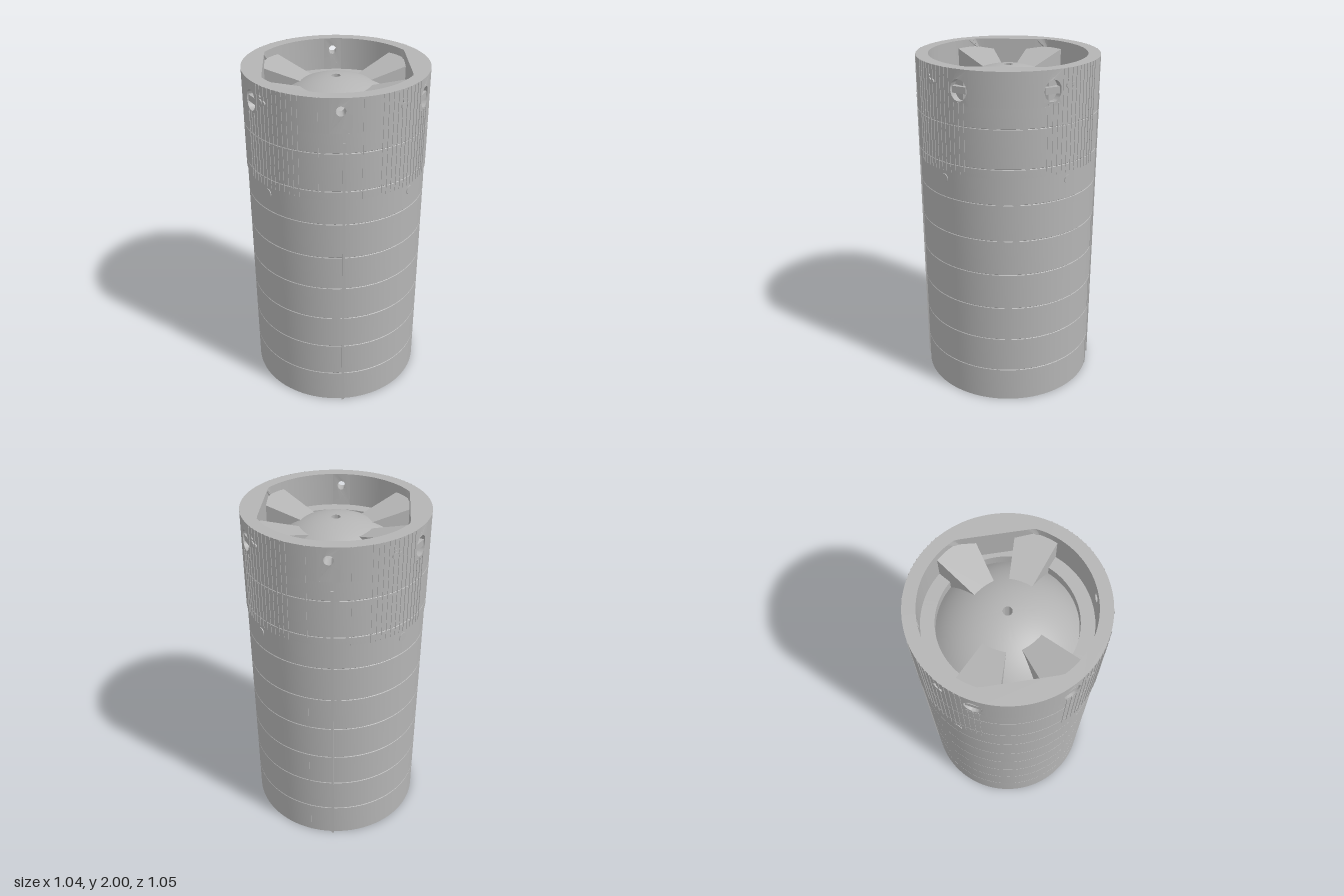
import * as THREE from 'three';
import { toCreasedNormals } from 'three/addons/utils/BufferGeometryUtils.js';

const RAD = Math.PI / 180;
const R = 0.52;        // upper skin radius
const LOW = 0.515;     // lower skin radius
const LEDGE = 1.81;    // floor of the open top
const HALF = 6.5;      // half angle of a pierced wall panel, degrees

// Inner wall radius at an angle from +z: round, with flats at x = +-0.4
const innerRadius = (a) => Math.min(0.45, 0.4 / Math.max(0.001, Math.abs(Math.sin(a))));

export function createModel() {
  const model = new THREE.Group();
  const grey = new THREE.MeshStandardMaterial({ color: 0xb4b4b4 });
  grey.name = 'grey metal';

  const add = (geometry, name, parent = model, crease = 0.5) => {
    const mesh = new THREE.Mesh(crease ? toCreasedNormals(geometry, crease) : geometry, grey);
    mesh.name = name;
    parent.add(mesh);
    return mesh;
  };
  // Group whose local +z points outward at the given angle
  const spoke = (degrees, name) => {
    const g = new THREE.Group();
    g.rotation.y = degrees * RAD;
    g.name = name;
    model.add(g);
    return g;
  };
  // Extrude a plan outline given as [x, z] points, upward from y
  const plan = (points, y, height, hole) => {
    const shape = new THREE.Shape(points.map(([x, z]) => new THREE.Vector2(x, -z)));
    if (hole) shape.holes.push(new THREE.Path(hole.map(([x, z]) => new THREE.Vector2(x, -z))));
    return new THREE.ExtrudeGeometry(shape, { depth: height, bevelEnabled: false })
      .rotateX(-Math.PI / 2).translate(0, y, 0);
  };
  const circle = (r, n) => Array.from({ length: n }, (_, i) =>
    [r * Math.sin(2 * Math.PI * i / n), r * Math.cos(2 * Math.PI * i / n)]);

  // Body skin with fine ring grooves, ledge, dome and centre bore
  const profile = [[0.5, 0], [LOW, 0]];
  const groove = (r, y) => profile.push([r, y - 0.003], [r - 0.003, y], [r, y + 0.003]);
  [0.21, 0.425, 0.635, 0.85, 1.06, 1.275].forEach((y) => groove(LOW, y));
  profile.push([LOW, 1.43], [R, 1.43]);
  [1.48, 1.7].forEach((y) => groove(R, y));
  profile.push([R, LEDGE], [0.375, LEDGE], [0.375, 1.75]);
  for (let i = 1; i <= 16; i++) {
    const r = 0.375 + (0.025 - 0.375) * i / 16;
    profile.push([r, 1.45 + Math.sqrt(0.48 ** 2 - r * r)]);
  }
  profile.push([0.025, 1.55]);
  add(new THREE.LatheGeometry(profile.map(([x, y]) => new THREE.Vector2(x, y)), 96), 'bodyAndDome');

  // Base block with a pointed square shaft, closed by a bored plate
  const shaft = [[0.12, 0.12], [0.12, -0.12], [-0.12, -0.12], [-0.12, 0.12], [0, 0.2]];
  add(plan(circle(0.511, 96), 0, 1.5, shaft), 'baseWithShaft');
  add(plan(circle(0.25, 32), 1.5, 0.1, circle(0.025, 24)), 'shaftCap');

  // Pierced wall panels: a flat plate with a hole, bent to the wall
  const panels = [0, 62, 118, 180, 242, 298];
  panels.forEach((deg) => {
    const port = deg % 180 !== 0;
    const w = R * Math.sin(HALF * RAD);
    const shape = new THREE.Shape();
    shape.moveTo(-w, LEDGE);
    [[0, LEDGE], [w, LEDGE], [w, 2], [w / 2, 2], [0, 2], [-w / 2, 2], [-w, 2]]
      .forEach(([x, y]) => shape.lineTo(x, y));
    const hole = new THREE.Path();
    if (port) hole.absellipse(0, 1.89, 0.05, 0.058, 0, Math.PI * 2, true);
    else hole.absarc(0, 1.93, 0.026, 0, Math.PI * 2, true);
    shape.holes.push(hole);
    const g = new THREE.ExtrudeGeometry(shape, { depth: 1, bevelEnabled: false, curveSegments: 24 });
    const p = g.attributes.position;
    for (let i = 0; i < p.count; i++) {
      const a = Math.asin(p.getX(i) / R);
      const r = p.getZ(i) > 0.5 ? R : innerRadius(deg * RAD + a);
      p.setX(i, r * Math.sin(a));
      p.setZ(i, r * Math.cos(a));
    }
    const s = spoke(deg, port ? 'portPanel' : 'ventPanel');
    add(g, 'piercedWall', s);
    if (port) {
      // Recess floor and crossbar
      add(new THREE.BoxGeometry(0.11, 0.13, 0.02).translate(0, 1.89, 0.47), 'portFloor', s);
      add(new THREE.BoxGeometry(0.084, 0.036, 0.035).translate(0, 1.89, 0.495), 'portBar', s);
    }
  });

  // Solid wall sectors between the panels
  panels.forEach((deg, i) => {
    const from = deg + HALF;
    const to = (panels[i + 1] ?? 360) - HALF;
    const outer = [], inner = [];
    const n = Math.ceil((to - from) / 2);
    for (let k = 0; k <= n; k++) {
      const a = (from + (to - from) * k / n) * RAD;
      const r = innerRadius(a);
      outer.push([R * Math.sin(a), R * Math.cos(a)]);
      inner.unshift([r * Math.sin(a), r * Math.cos(a)]);
    }
    add(plan([...outer, ...inner], LEDGE, 2 - LEDGE), 'wallSector');
  });

  // Four wedge braces sloping down from the wall to the dome
  const wedge = [[0.12, 0.016], [0.2, 0.04], [0.4, 0.1], [0.42, 0.106], [0.44, 0.22],
    [0.345, 0.327], [0.325, 0.31], [0.135, 0.15], [0.08, 0.104]];
  for (const sx of [-1, 1]) for (const sz of [-1, 1]) {
    const g = plan(wedge.map(([x, z]) => [sx * x, sz * z]), 1.7, 0.2);
    const p = g.attributes.position;
    for (let i = 0; i < p.count; i++) {
      if (p.getY(i) < 1.8) continue;
      const s = 0.85 * Math.abs(p.getX(i)) + 0.53 * Math.abs(p.getZ(i));
      p.setY(i, 1.886 + 0.27 * (s - 0.195));
    }
    g.computeVertexNormals();
    add(g, 'wedgeBrace');
  }

  // Fine vertical ribs on the upper skin, mirrored to every quadrant
  const ribAngles = [13];
  for (let a = 25; a <= 65; a += 3.33) ribAngles.push(a);
  for (const a of ribAngles) for (const deg of [a, -a, 180 - a, 180 + a]) {
    // Ribs stop short of the round ports
    const top = Math.abs(a - 62) < 6 ? 1.825 : 2;
    const h = top - 1.43;
    add(new THREE.BoxGeometry(0.006, h, 0.006).translate(0, 1.43 + h / 2, R), 'rib',
      spoke(deg, 'ribMount'), 0);
  }

  // Long conduits at front and back
  for (const deg of [0, 180]) {
    add(new THREE.BoxGeometry(0.014, 1.76, 0.03).translate(0.017, 0.88, 0.511), 'conduit',
      spoke(deg, 'conduitMount'));
  }
  // Broken seam strip on the back
  const seam = spoke(166, 'backSeam');
  [0.105, 0.53, 0.955].forEach((y) =>
    add(new THREE.BoxGeometry(0.007, 0.21, 0.006).translate(0, y, LOW), 'seamStrip', seam));

  // Small round fittings near the rim
  for (let k = 0; k < 4; k++) {
    const s = spoke(38.7 + 90 * k, 'rimFitting');
    const disc = (r, x, y) => add(new THREE.CylinderGeometry(r, r, 0.012, 20)
      .rotateX(Math.PI / 2).translate(x, y, R), 'fittingDisc', s);
    disc(0.018, 0, 1.91);
    disc(0.012, 0.032, 1.912);
    disc(0.008, 0, 1.938);
    add(new THREE.CylinderGeometry(0.013, 0.013, 0.08, 20).translate(0, 1.96, 0.508), 'rimPin', s);
  }
  // Low discs under the ribbed section
  for (const deg of [49, 131, 229, 311]) {
    add(new THREE.CylinderGeometry(0.026, 0.026, 0.008, 24).rotateX(Math.PI / 2)
      .translate(0, 1.385, LOW), 'lowDisc', spoke(deg, 'lowDiscMount'));
  }
  return model;
}
